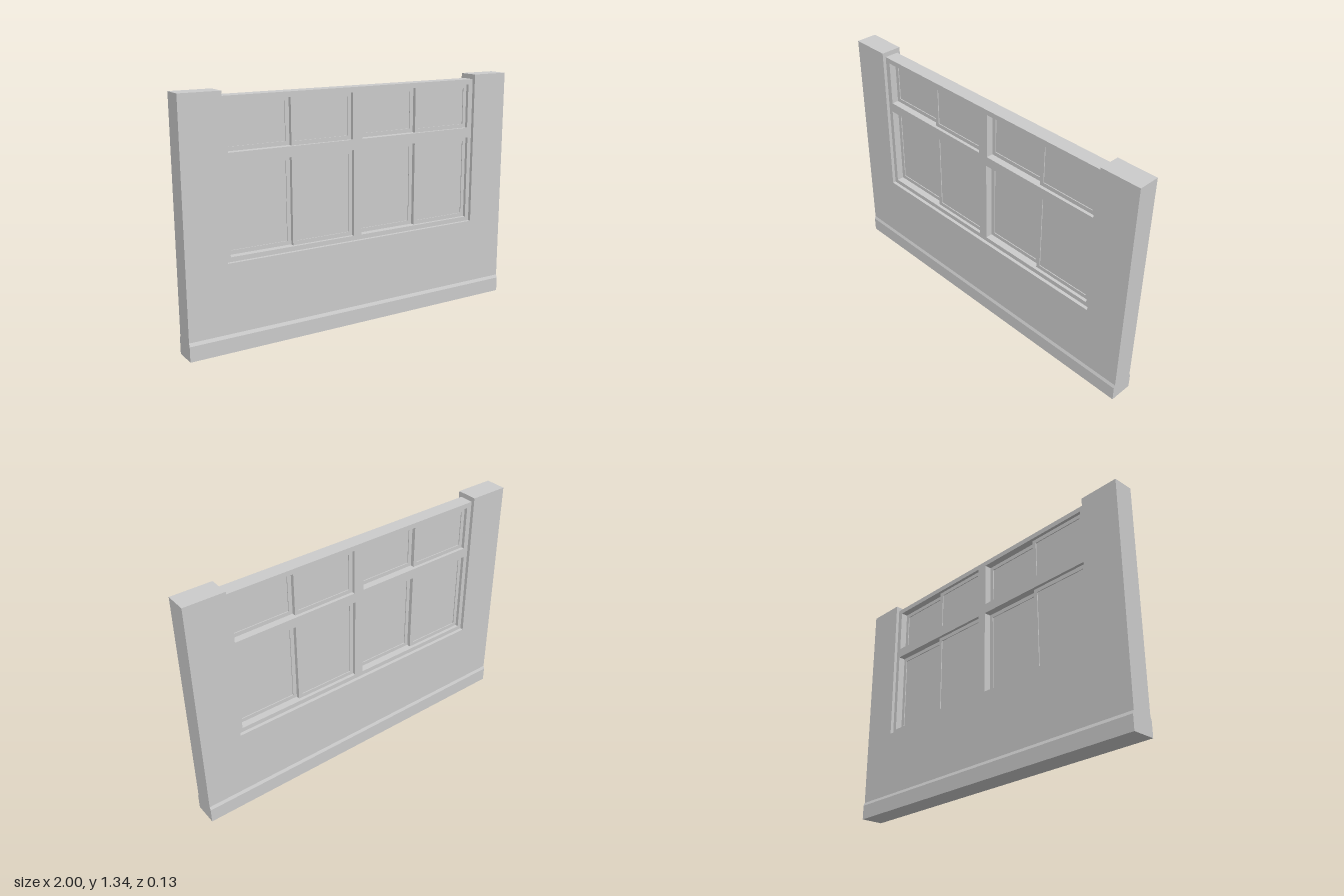
import * as THREE from 'three';

const grey = new THREE.MeshStandardMaterial({ color: 0xcccccc, flatShading: true });

function addMesh(parent, name, geometry) {
  const mesh = new THREE.Mesh(geometry, grey);
  mesh.name = name;
  parent.add(mesh);
  return mesh;
}

// Extrude a shape so that it is centred on its own depth
function slab(shape, depth) {
  const g = new THREE.ExtrudeGeometry(shape, { depth, bevelEnabled: false });
  return g.translate(0, 0, -depth / 2);
}

function outline(points, Type = THREE.Shape) {
  return new Type(points.map(([x, y]) => new THREE.Vector2(x, y)));
}

function rect(x0, x1, y0, y1, Type) {
  return outline([[x0, y0], [x1, y0], [x1, y1], [x0, y1]], Type);
}

// Sliding sash: a thin border around a slightly recessed pane
function createSash(name, w, h) {
  const border = 0.022;
  const sash = new THREE.Group();
  sash.name = name;
  const shape = rect(-w / 2, w / 2, -h / 2, h / 2);
  const [iw, ih] = [w / 2 - border, h / 2 - border];
  shape.holes.push(rect(-iw, iw, -ih, ih, THREE.Path));
  addMesh(sash, 'sashBorder', slab(shape, 0.022));
  addMesh(sash, 'pane', new THREE.BoxGeometry(iw * 2, ih * 2, 0.012));
  return sash;
}

export function createModel() {
  const model = new THREE.Group();
  model.name = 'windowWall';

  // Wall with a notch, open at the top, for the window
  const wall = outline([
    [-1, 0.1], [1, 0.1], [1, 1.335], [0.777, 1.335],
    [0.777, 0.475], [-0.777, 0.475], [-0.777, 1.335], [-1, 1.335],
  ]);
  addMesh(model, 'wall', slab(wall, 0.118));

  // Skirting on both faces, with a sloped top edge
  const skirting = outline([
    [-0.066, 0], [0.066, 0], [0.066, 0.082], [0.059, 0.1], [-0.059, 0.1], [-0.066, 0.082],
  ]);
  addMesh(model, 'skirting', slab(skirting, 2)).rotation.y = Math.PI / 2;

  // Window frame with two wide openings in each of two rows
  const windowGroup = new THREE.Group();
  windowGroup.name = 'window';
  model.add(windowGroup);

  const frame = rect(-0.777, 0.777, 0.475, 1.308);
  const rows = [
    { name: 'lower', inner: 0.025, outer: 0.752, y0: 0.5, y1: 0.974 },
    { name: 'upper', inner: 0.03, outer: 0.747, y0: 1.03, y1: 1.28 },
  ];
  for (const { name, inner, outer, y0, y1 } of rows) {
    const width = (outer - inner) / 2;
    for (const side of [-1, 1]) {
      const [x0, x1] = side < 0 ? [-outer, -inner] : [inner, outer];
      frame.holes.push(rect(x0, x1, y0, y1, THREE.Path));
      // Two sliding sashes per opening: the -x one behind, the +x one in front
      for (const i of [0, 1]) {
        const sash = createSash(name + 'Sash', width, y1 - y0);
        sash.position.set(x0 + width * (i + 0.5), (y0 + y1) / 2, i ? 0.011 : -0.011);
        windowGroup.add(sash);
      }
    }
  }
  addMesh(windowGroup, 'windowFrame', slab(frame, 0.08));

  return model;
}
